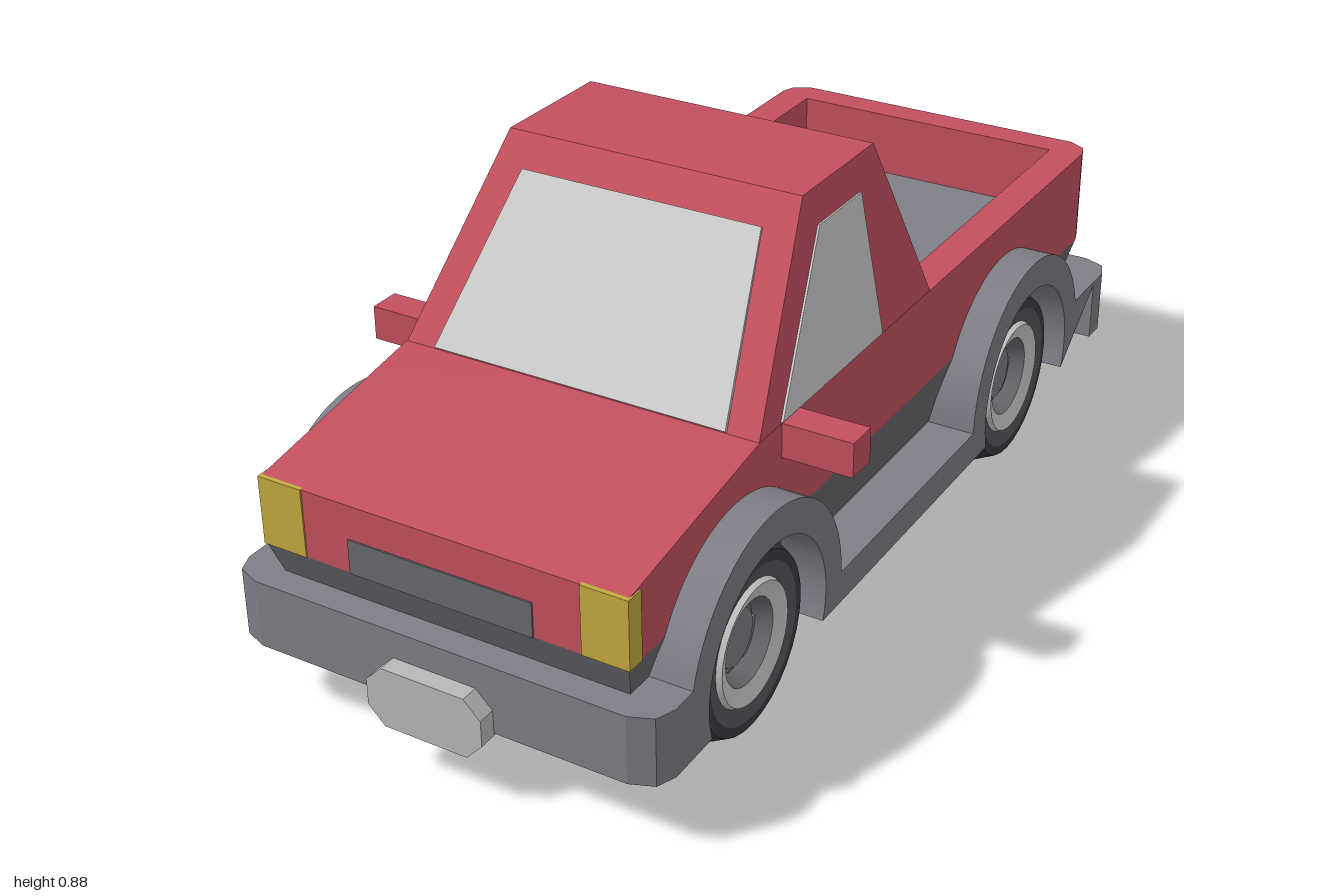
import * as THREE from 'three';
import { toCreasedNormals } from 'three/addons/utils/BufferGeometryUtils.js';

const paint = (color) => new THREE.MeshStandardMaterial({ color });
const RED = paint(0xc4505f), TRIM = paint(0x7e7e87), DARK = paint(0x68696e);
const TYRE = paint(0x3a3a42), SIDEWALL = paint(0x55555c), LAMP = paint(0xc4aa3e);
const SILVER = paint(0xcccccc), PLATE = paint(0xb8b8b8);

export function createModel() {
  const truck = new THREE.Group();

  const add = (name, geometry, material, parent = truck) => {
    const mesh = new THREE.Mesh(geometry, material);
    mesh.name = name;
    parent.add(mesh);
    return mesh;
  };

  // box given by its limits on each axis
  const box = (x0, x1, y0, y1, z0, z1) =>
    new THREE.BoxGeometry(x1 - x0, y1 - y0, z1 - z0)
      .translate((x0 + x1) / 2, (y0 + y1) / 2, (z0 + z1) / 2);

  const polygon = (points) => new THREE.Shape(points.map(([a, b]) => new THREE.Vector2(a, b)));
  const extrude = (shape, depth) =>
    new THREE.ExtrudeGeometry(shape, { depth, bevelEnabled: false, curveSegments: 20 });

  // side profile drawn in (z, y), extruded across x
  const acrossX = (shape, x0, x1) =>
    toCreasedNormals(extrude(shape, x1 - x0).rotateY(-Math.PI / 2).translate(x1, 0, 0), 0.4);

  // plan drawn in (x, z), extruded upward
  const upY = (shape, y0, y1) => extrude(shape, y1 - y0).rotateX(Math.PI / 2).translate(0, y1, 0);

  // flat-sided solid between two matching rings, bottom then top
  const loft = (lower, upper) => {
    const position = [];
    const tri = (...corners) => corners.forEach((c) => position.push(...c));
    const n = lower.length;
    for (let i = 0; i < n; i++) {
      const j = (i + 1) % n;
      tri(lower[i], lower[j], upper[j]);
      tri(lower[i], upper[j], upper[i]);
      if (i > 0 && j > 0) {
        tri(upper[0], upper[i], upper[j]);
        tri(lower[0], lower[j], lower[i]);
      }
    }
    const geometry = new THREE.BufferGeometry();
    geometry.setAttribute('position', new THREE.Float32BufferAttribute(position, 3));
    geometry.computeVertexNormals();
    return geometry;
  };

  // thin pane laid just outside a face
  const pane = (corners, [ox, oy, oz]) => {
    const lift = (k) => corners.map(([x, y, z]) => [x + ox * k, y + oy * k, z + oz * k]);
    return loft(lift(-0.01), lift(0.004));
  };

  // front body with sloping bonnet
  add('frontBody', acrossX(polygon([
    [-0.155, 0.34], [0.935, 0.34], [0.935, 0.475], [0.52, 0.545], [-0.155, 0.545],
  ]), -0.37, 0.37), RED);

  // open cargo bed
  add('bedWalls', upY(polygon([
    [0.37, -0.155], [0.37, -0.915], [0.36, -0.945], [0.325, -0.965],
    [-0.325, -0.965], [-0.36, -0.945], [-0.37, -0.915], [-0.37, -0.155],
    [-0.3, -0.155], [-0.3, -0.9], [0.3, -0.9], [0.3, -0.155],
  ]), 0.34, 0.545), RED);
  add('bedFloor', box(-0.305, 0.305, 0.345, 0.405, -0.905, -0.15), TRIM);
  add('bedFrontWall', box(-0.3, 0.3, 0.36, 0.543, -0.158, -0.15), TRIM);

  // tapered cab
  const rect = (x, y, zFront, zBack) =>
    [[x, y, zFront], [x, y, zBack], [-x, y, zBack], [-x, y, zFront]];
  add('cab', loft(rect(0.37, 0.54, 0.52, -0.152), rect(0.305, 0.885, 0.255, -0.015)), RED);

  // windows follow the slopes of the cab
  const slope = (y) => (y - 0.545) / 0.34;
  const sideX = (y) => 0.37 - 0.065 * slope(y);
  const frontZ = (y) => 0.52 - 0.265 * slope(y);
  const backZ = (y) => -0.15 + 0.135 * slope(y);
  add('windscreen', pane([
    [-0.305, 0.548, frontZ(0.548)], [0.305, 0.548, frontZ(0.548)],
    [0.25, 0.83, frontZ(0.83)], [-0.25, 0.83, frontZ(0.83)],
  ], [0, 0.61, 0.79]), SILVER);
  add('rearWindow', pane([
    [0.31, 0.595, backZ(0.595)], [-0.31, 0.595, backZ(0.595)],
    [-0.25, 0.81, backZ(0.81)], [0.25, 0.81, backZ(0.81)],
  ], [0, 0.37, -0.93]), SILVER);
  for (const s of [1, -1]) {
    const outline = [[0.44, 0.548], [0.06, 0.548], [0.06, 0.82], [0.22, 0.82]];
    const corners = outline.map(([z, y]) => [s * sideX(y), y, z]);
    if (s < 0) corners.reverse();
    add('sideWindow', pane(corners, [s * 0.98, 0.19, 0]), SILVER);
  }

  // dark lower body, tapering downward
  const skirtRing = (x, y, front, back) => [
    [x, y, front], [x, y, back + 0.05], [x - 0.05, y, back],
    [-x + 0.05, y, back], [-x, y, back + 0.05], [-x, y, front],
  ];
  add('lowerBody', loft(skirtRing(0.34, 0.2, 0.885, -0.89), skirtRing(0.37, 0.34, 0.935, -0.963)), DARK);
  add('chassis', box(-0.37, 0.37, 0.14, 0.205, -0.86, 0.86), TRIM);

  // sills with wheel arches
  const side = new THREE.Shape();
  const wheelZ = [-0.5, 0.6];
  const inner = Math.asin(0.06 / 0.205), outer = Math.asin(0.07 / 0.265);
  side.moveTo(-0.87, 0.14);
  for (const z of wheelZ) side.absarc(z, 0.2, 0.205, Math.PI + inner, -inner, true);
  side.lineTo(0.87, 0.14);
  side.lineTo(0.87, 0.275);
  side.absarc(0.6, 0.205, 0.265, outer, Math.PI, false);
  side.absarc(-0.5, 0.205, 0.265, 0, Math.PI - outer, false);
  side.lineTo(-0.87, 0.275);
  side.closePath();
  add('leftSillAndArches', acrossX(side, 0.31, 0.44), TRIM);
  add('rightSillAndArches', acrossX(side, -0.44, -0.31), TRIM);

  // bumpers with plates, front and rear
  const bumperPlan = polygon([
    [-0.44, 0.86], [0.44, 0.86], [0.44, 0.91], [0.425, 0.947], [0.38, 0.965],
    [-0.38, 0.965], [-0.425, 0.947], [-0.44, 0.91],
  ]);
  const platePlan = polygon([
    [-0.085, 0.1], [0.085, 0.1], [0.118, 0.135], [0.118, 0.187],
    [0.085, 0.22], [-0.085, 0.22], [-0.118, 0.187], [-0.118, 0.135],
  ]);
  for (const end of ['front', 'rear']) {
    const group = new THREE.Group();
    group.name = end + 'BumperAssembly';
    group.rotation.y = end === 'front' ? 0 : Math.PI;
    add(end + 'Bumper', upY(bumperPlan, 0.14, 0.275), TRIM, group);
    add(end + 'Plate', extrude(platePlan, 0.04).translate(0, 0, 0.96), PLATE, group);
    truck.add(group);
  }

  // grille, lamps and door mirrors
  add('grille', box(-0.187, 0.187, 0.34, 0.408, 0.9, 0.938), DARK);
  for (const s of [1, -1]) {
    const lamp = box(-0.046, 0.046, 0.341, 0.476, 0.9, 0.938);
    add('headlight', lamp.translate(s * 0.327, 0, 0), LAMP);
    add('mirror', box(-0.075, 0.075, 0.477, 0.545, 0.374, 0.438).translate(s * 0.433, 0, 0), RED);
    add('mirrorGlass', box(-0.066, 0.066, 0.48, 0.542, 0.371, 0.38).translate(s * 0.438, 0, 0), SILVER);
  }

  // wheels: profiles are [radius, distance outward]
  const turned = (profile) => toCreasedNormals(
    new THREE.LatheGeometry(profile.map(([r, h]) => new THREE.Vector2(r, h)), 32).rotateZ(-Math.PI / 2), 0.4);
  const parts = [
    ['tyre', [[0, 0.17], [0.17, 0.17], [0.2, 0.235], [0.2, 0.345], [0.17, 0.408], [0.15, 0.41]], TYRE],
    ['sidewall', [[0.15, 0.41], [0.12, 0.402]], SIDEWALL],
    ['rim', [[0.12, 0.402], [0.115, 0.412], [0.083, 0.4]], SILVER],
    ['hubWell', [[0.083, 0.4], [0.07, 0.365], [0.058, 0.365]], DARK],
    ['hub', [[0.058, 0.365], [0.055, 0.375], [0, 0.375]], TRIM],
  ];
  for (const z of wheelZ) {
    for (const s of [1, -1]) {
      const wheel = new THREE.Group();
      wheel.name = (z > 0 ? 'front' : 'rear') + (s > 0 ? 'Left' : 'Right') + 'Wheel';
      for (const [name, profile, material] of parts) add(name, turned(profile), material, wheel);
      wheel.position.set(0, 0.2, z);
      wheel.rotation.y = s > 0 ? 0 : Math.PI;
      truck.add(wheel);
    }
  }
  return truck;
}
